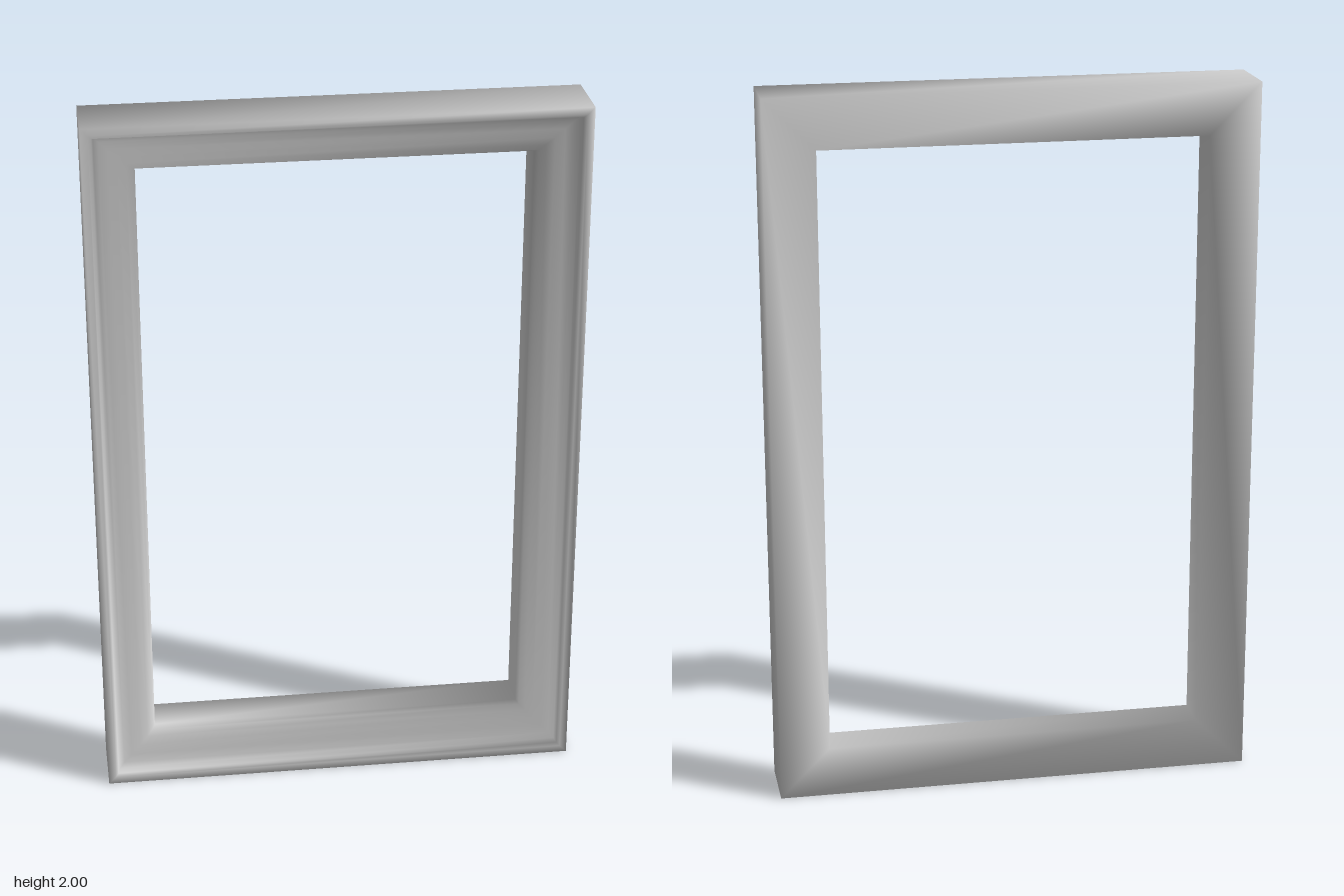
import * as THREE from 'three';

const HALF_W = 0.675, HALF_H = 1, HALF_D = 0.094;

// Moulding cross-section: [distance in from the outer edge, z]
const PROFILE = [
  [0, -HALF_D], [0, HALF_D],                            // outer wall
  [0.02, HALF_D], [0.029, 0.088], [0.034, 0.07],        // raised rim and its step
  [0.048, 0.06], [0.07, 0.055], [0.095, 0.049],         // sloping face
  [0.118, 0.041], [0.134, 0.03], [0.142, 0.015],        // rounded inner edge
  [0.142, -HALF_D],                                     // inner wall, back closes the loop
];

// Sweeps the profile round the four mitred corners
function mitredFrame(profile) {
  const corners = [[-1, -1], [1, -1], [1, 1], [-1, 1]];
  const n = profile.length, positions = [], index = [];
  corners.forEach(([sx, sy], k) => {
    for (const [inset, z] of profile) {
      positions.push(sx * (HALF_W - inset), HALF_H + sy * (HALF_H - inset), z);
    }
    const next = (k + 1) % 4;
    for (let i = 0; i < n; i++) {
      const j = (i + 1) % n;
      const a = k * n + i, b = next * n + i, c = next * n + j, d = k * n + j;
      index.push(a, b, c, a, c, d);
    }
  });
  const geometry = new THREE.BufferGeometry();
  geometry.setAttribute('position', new THREE.Float32BufferAttribute(positions, 3));
  geometry.setIndex(index);
  geometry.computeVertexNormals();
  return geometry;
}

export function createModel() {
  const group = new THREE.Group();
  group.name = 'pictureFrame';
  const frame = new THREE.Mesh(
    mitredFrame(PROFILE),
    new THREE.MeshStandardMaterial({ color: 0xcccccc })
  );
  frame.name = 'frameMoulding';
  group.add(frame);
  return group;
}
